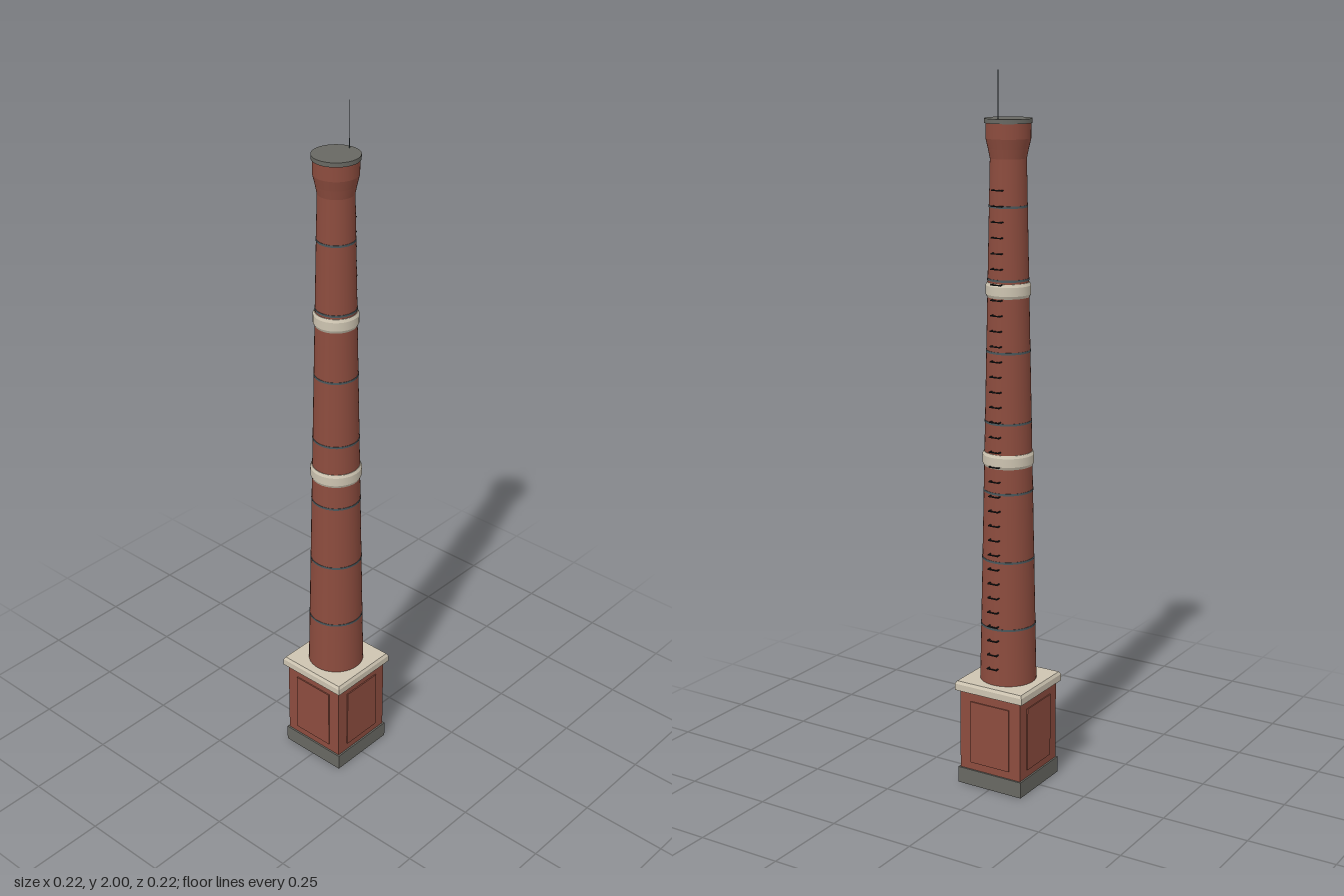
import * as THREE from 'three';

const SEG = 40;
const mat = (name, color) => Object.assign(new THREE.MeshStandardMaterial({ color }), { name });

// Shaft taper: radius at a given height
const SHAFT_Y0 = 0.31, SHAFT_Y1 = 1.77;
const shaftRadius = (y) => 0.08 - 0.0212 * (y - SHAFT_Y0);

export function createModel() {
  const brick = mat('brick', 0x8c4c3e);
  const stone = mat('stone', 0xcdc4b1);
  const concrete = mat('concrete', 0x686862);
  const iron = mat('iron', 0x1c1e1f);
  const steel = mat('hoop steel', 0x4c585c);

  const model = new THREE.Group();
  model.name = 'chimney';

  const add = (name, geometry, material, parent = model) => {
    const mesh = new THREE.Mesh(geometry, material);
    mesh.name = name;
    parent.add(mesh);
    return mesh;
  };
  const group = (name) => {
    const g = new THREE.Group();
    g.name = name;
    model.add(g);
    return g;
  };
  // Box between two heights
  const block = (name, half, y0, y1, material) =>
    add(name, new THREE.BoxGeometry(half * 2, y1 - y0, half * 2).translate(0, (y0 + y1) / 2, 0), material);
  // Tapered round section between two heights
  const drum = (name, y0, r0, y1, r1, material, parent = model, open = false) =>
    add(name, new THREE.CylinderGeometry(r1, r0, y1 - y0, SEG, 1, open).translate(0, (y0 + y1) / 2, 0), material, parent);

  // Square pedestal with a raised panel on each side
  block('footing', 0.104, 0, 0.047, concrete);
  block('pedestal', 0.099, 0.047, 0.285, brick);
  const panels = group('pedestalPanels');
  for (let i = 0; i < 4; i++) {
    const panel = new THREE.BoxGeometry(0.126, 0.185, 0.006).translate(0, 0.162, 0.0995);
    add('panel', panel.rotateY(i * Math.PI / 2), brick, panels);
  }

  // Stone cornice with chamfered top
  block('cornice', 0.11, 0.283, 0.302, stone);
  const chamfer = new THREE.CylinderGeometry(0.105 * Math.SQRT2, 0.11 * Math.SQRT2, 0.008, 4, 1).toNonIndexed();
  chamfer.computeVertexNormals();
  add('corniceChamfer', chamfer.rotateY(Math.PI / 4).translate(0, 0.306, 0), stone);

  // Tapered shaft
  drum('shaft', SHAFT_Y0, shaftRadius(SHAFT_Y0), SHAFT_Y1, shaftRadius(SHAFT_Y1), brick);

  // Stone bands with chamfered edges
  for (const y of [0.955, 1.422]) {
    const band = group('stoneBand');
    const r = shaftRadius(y), outer = r + 0.005;
    drum('bandLower', y - 0.02, r + 0.001, y - 0.012, outer, stone, band);
    drum('bandMiddle', y - 0.012, outer, y + 0.012, outer, stone, band);
    drum('bandUpper', y + 0.012, outer, y + 0.02, r + 0.001, stone, band);
  }

  // Thin steel hoops
  const hoops = group('hoops');
  for (let i = 0; i < 7; i++) {
    const y = 0.475 + i * 0.195, r = shaftRadius(y) + 0.001;
    drum('hoop', y - 0.003, r, y + 0.003, r, steel, hoops);
  }

  // Flared head and lid
  drum('headFlareLower', SHAFT_Y1, shaftRadius(SHAFT_Y1), 1.795, 0.054, brick);
  drum('headFlareUpper', 1.795, 0.054, 1.822, 0.0605, brick);
  drum('headCollar', 1.822, 0.0605, 1.862, 0.0605, brick);
  drum('lid', 1.862, 0.064, 1.874, 0.064, concrete);

  // Climbing irons up the left side
  const ladder = group('climbingIrons');
  const RUNGS = 33, T = 0.003, HALF = 0.014;
  for (let i = 0; i < RUNGS; i++) {
    const y = 0.36 + i * (1.69 - 0.36) / (RUNGS - 1);
    const r = shaftRadius(y), tip = r + 0.01;
    add('rung', new THREE.BoxGeometry(T, T, HALF * 2 + T).translate(tip, y, 0), iron, ladder);
    for (const side of [-1, 1]) {
      add('rungArm', new THREE.BoxGeometry(0.016, T, T).translate(tip - 0.008, y, side * HALF), iron, ladder);
    }
  }

  // Lightning rod
  add('lightningRod', new THREE.CylinderGeometry(0.0008, 0.0013, 0.13, 8).translate(0.051, 1.935, 0), steel);

  return model;
}
